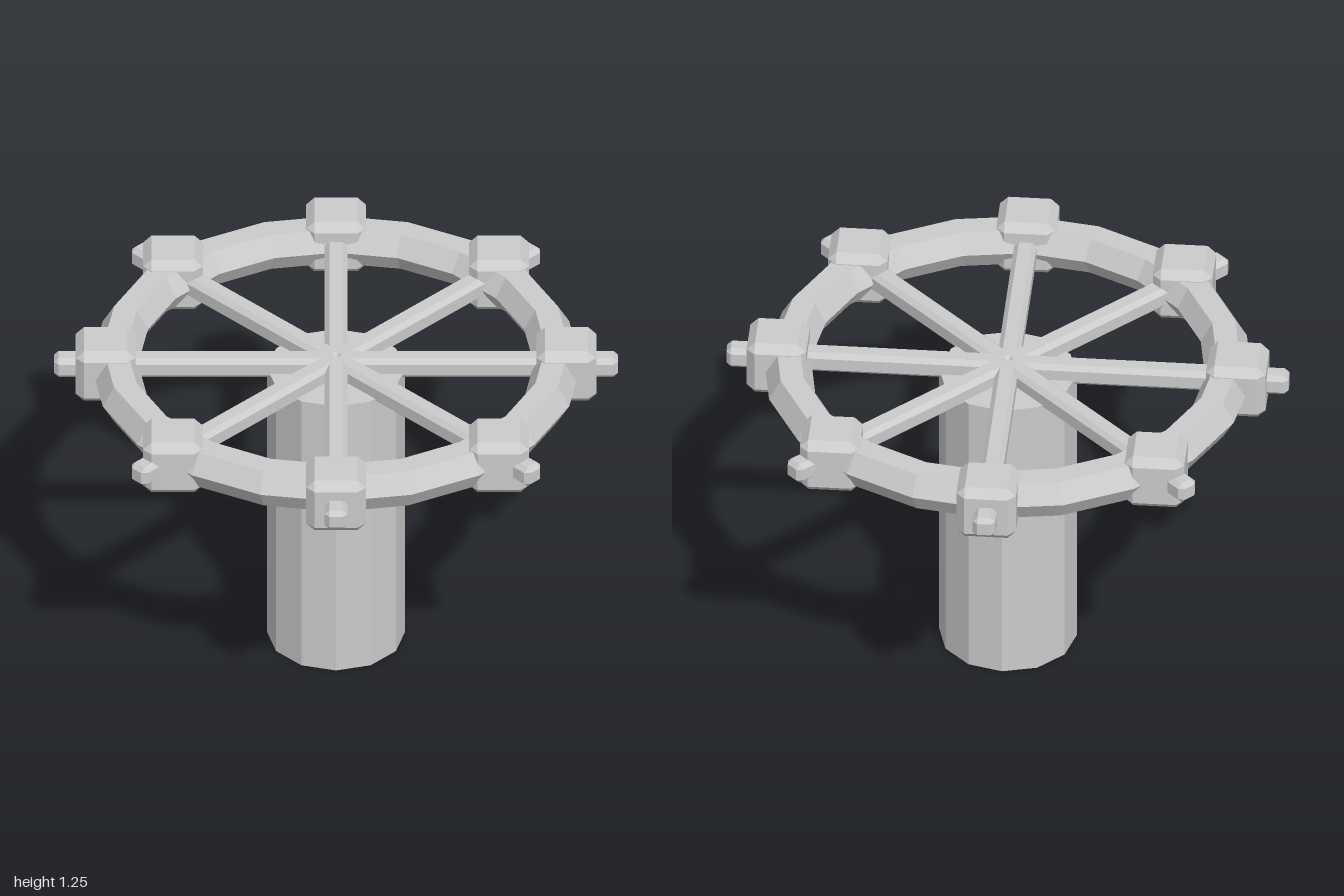
import * as THREE from 'three';
import { ConvexGeometry } from 'three/addons/geometries/ConvexGeometry.js';

const material = new THREE.MeshStandardMaterial({ color: 0xcccccc, flatShading: true });

// Box with every edge cut by a single flat bevel
function bevelledBox(w, h, d, bevel) {
  const half = [w / 2, h / 2, d / 2];
  const points = [];
  for (const sx of [-1, 1]) for (const sy of [-1, 1]) for (const sz of [-1, 1]) {
    for (let axis = 0; axis < 3; axis++) {
      const p = half.map((v, i) => (i === axis ? v : v - bevel));
      points.push(new THREE.Vector3(sx * p[0], sy * p[1], sz * p[2]));
    }
  }
  return new ConvexGeometry(points);
}

export function createModel() {
  const group = new THREE.Group();
  const add = (name, geometry, x, y, z) => {
    const mesh = new THREE.Mesh(geometry, material);
    mesh.name = name;
    mesh.position.set(x, y, z);
    group.add(mesh);
    return mesh;
  };

  const wheelY = 1.147;

  // Twelve-sided post
  const postHeight = 1.13;
  add('post', new THREE.CylinderGeometry(0.245, 0.245, postHeight, 12), 0, postHeight / 2, 0);

  // Hexagonal-section rim
  const rim = new THREE.TorusGeometry(0.785, 0.084, 6, 20).rotateX(Math.PI / 2);
  add('rim', rim, 0, wheelY, 0);

  // Eight spokes running past the rim as short handles, each with a joint block
  const spokeGeometry = bevelledBox(1, 0.08, 0.08, 0.017).translate(0.5, 0, 0);
  const blockGeometry = bevelledBox(0.212, 0.212, 0.212, 0.03);
  const blockRadius = 0.817;
  for (let i = 0; i < 8; i++) {
    const a = (i * Math.PI) / 4;
    add('spoke' + (i + 1), spokeGeometry, 0, wheelY, 0).rotation.y = a;
    // Blocks all stay square to the axes
    add('jointBlock' + (i + 1), blockGeometry,
      blockRadius * Math.cos(a), wheelY, -blockRadius * Math.sin(a));
  }

  return group;
}
